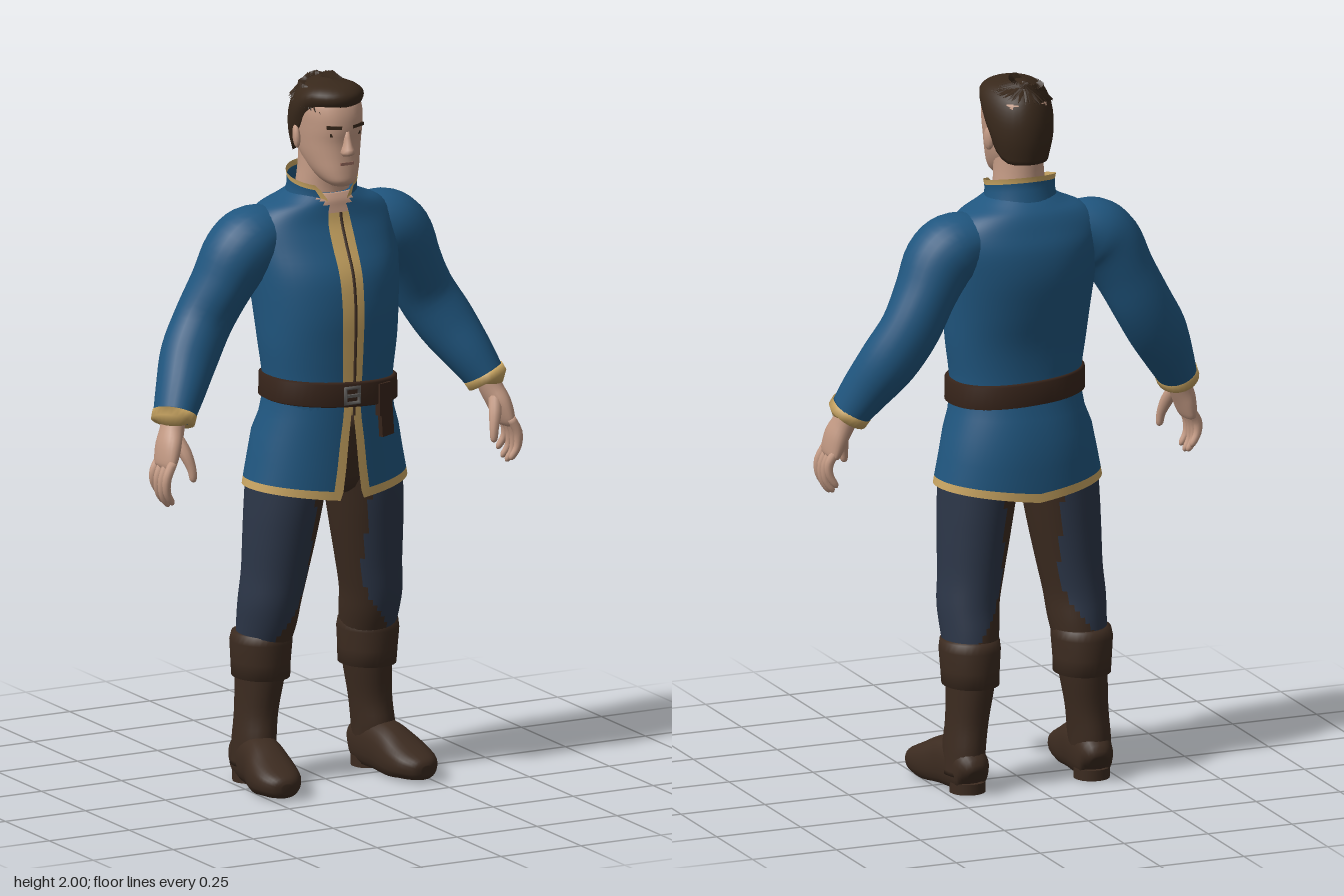
import * as THREE from 'three';
import { mergeGeometries } from 'three/addons/utils/BufferGeometryUtils.js';

const paint = (name, color, extra = {}) => new THREE.MeshStandardMaterial({ name, color, ...extra });
const V = (x, y, z) => new THREE.Vector3(x, y, z);

// Catmull-Rom refinement of cross-sections [x, y, z, halfWidth, halfDepth]
function refine(secs, sub) {
  const out = [], at = (i) => secs[Math.min(Math.max(i, 0), secs.length - 1)];
  for (let i = 0; i < secs.length - 1; i++) {
    for (let k = 0; k < sub; k++) {
      const t = k / sub;
      out.push(secs[i].map((b, q) => {
        const a = at(i - 1)[q], c = at(i + 1)[q], d = at(i + 2)[q];
        return b + 0.5 * t * (c - a + t * (2 * a - 5 * b + 4 * c - d + t * (3 * (b - c) + d - a)));
      }));
    }
  }
  out.push(secs[secs.length - 1]);
  return out;
}

// Skin over cross-sections. Level rings go upwards; with ref the rings follow the path.
// gap opens the front, warp moves points, pick chooses a material per face.
function loft(name, secs, mats, { n = 24, sub = 4, gap, warp, pick, ref, cap = true, p = 2 } = {}) {
  const rows = refine(secs, sub), R = rows.length, pts = [], W = gap ? n + 1 : n;
  const centre = rows.map((r) => V(r[0], r[1], r[2]));
  rows.forEach((r, i) => {
    let u = V(1, 0, 0), v = V(0, 0, 1);
    if (ref) {
      const t = centre[Math.min(i + 1, R - 1)].clone().sub(centre[Math.max(i - 1, 0)]).normalize();
      v = ref.clone().addScaledVector(t, -ref.dot(t)).normalize();
      u = t.clone().cross(v);
    }
    const g = gap ? gap(i / (R - 1)) : 0;
    for (let j = 0; j < W; j++) {
      const a = Math.PI / 2 + g + (2 * Math.PI - 2 * g) * j / n;
      const f = (c) => Math.sign(c) * Math.abs(c) ** (2 / p);
      pts.push(centre[i].clone().addScaledVector(u, r[3] * f(Math.cos(a))).addScaledVector(v, r[4] * f(Math.sin(a))));
    }
  });
  if (cap && !gap) pts.push(centre[0].clone(), centre[R - 1].clone());
  if (warp) pts.forEach(warp);
  const list = Array.isArray(mats) ? mats : [mats], faces = list.map(() => []);
  for (let i = 0; i < R - 1; i++) {
    for (let j = 0; j < n; j++) {
      const k = (j + 1) % W, a = i * W + j, b = a + W, c = i * W + k, d = c + W;
      const mid = pts[a].clone().add(pts[d]).multiplyScalar(0.5);
      faces[pick ? pick(mid, i, j) : 0].push(a, b, c, c, b, d);
    }
  }
  if (cap && !gap) for (let j = 0; j < n; j++) {
    const k = (j + 1) % n, top = (R - 1) * W;
    faces[0].push(R * W, j, k, R * W + 1, top + k, top + j);
  }
  const geo = new THREE.BufferGeometry().setFromPoints(pts);
  geo.setIndex(faces.flat());
  let start = 0;
  faces.forEach((f, m) => { geo.addGroup(start, f.length, m); start += f.length; });
  geo.computeVertexNormals();
  return Object.assign(new THREE.Mesh(geo, Array.isArray(mats) ? mats : list[0]), { name });
}

export function createModel() {
  const blue = paint('blue cloth', 0x20567f, { side: THREE.DoubleSide });
  const gold = paint('gold trim', 0xc9a562, { side: THREE.DoubleSide });
  const navy = paint('navy trousers', 0x2c3648);
  const brown = paint('brown leather', 0x3c2b20, { side: THREE.DoubleSide });
  const strap = paint('belt leather', 0x38251b);
  const skin = paint('skin', 0xc39a84);
  const hairMat = paint('dark brown hair', 0x38281b);
  const metal = paint('buckle metal', 0x5c5a58);
  const lip = paint('lip', 0x94685a);
  const model = new THREE.Group();
  const add = (...m) => model.add(...m);
  const place = (name, geo, mat, x, y, z, rx = 0, ry = 0, rz = 0) => {
    const m = new THREE.Mesh(geo, mat);
    m.name = name; m.position.set(x, y, z); m.rotation.set(rx, ry, rz);
    add(m);
    return m;
  };

  // Jacket body with gold placket and open neck
  const body = [[0, 1.06, 0.01, 0.182, 0.143], [0, 1.15, 0.012, 0.184, 0.143], [0, 1.25, 0.01, 0.197, 0.15],
    [0, 1.35, 0, 0.205, 0.163], [0, 1.45, -0.016, 0.214, 0.165], [0, 1.53, -0.035, 0.222, 0.145],
    [0, 1.585, -0.04, 0.215, 0.124], [0, 1.625, -0.037, 0.18, 0.111], [0, 1.65, -0.03, 0.125, 0.1],
    [0, 1.67, -0.025, 0.09, 0.085]];
  add(loft('jacketBody', body, [blue, gold, skin], { n: 48, p: 2.25,
    pick: (m, i, j) => (m.z > 0 && m.y > 1.615 && Math.abs(m.x) < (m.y - 1.6) * 0.9 ? 2 : j === 0 || j === 47 ? 1 : 0) }));
  const front = refine(body, 4).filter((r) => r[1] < 1.62).map((r) => V(0.006, r[1], r[2] + r[4]));
  place('frontSeam', new THREE.TubeGeometry(new THREE.CatmullRomCurve3(front), 40, 0.005, 5), brown, 0, 0, 0);

  // Skirt split at the front, with gold hem and edges
  add(loft('jacketSkirt', [[0, 0.85, -0.005, 0.24, 0.16], [0, 0.872, -0.005, 0.236, 0.16], [0, 0.93, -0.005, 0.224, 0.16],
    [0, 1, -0.003, 0.21, 0.158], [0, 1.05, 0.005, 0.192, 0.15], [0, 1.1, 0.01, 0.184, 0.145]], [blue, gold], {
    n: 56, sub: 1, p: 2.15, gap: (t) => 0.13 * (1 - t) ** 1.2 + 0.002,
    warp: (q) => { q.y -= 0.032 * (1 - Math.min(1, Math.abs(q.x) / 0.24)) * Math.max(0, (1.07 - q.y) / 0.22); },
    pick: (m, i, j) => (i === 0 || j === 0 || j === 55 ? 1 : 0) }));

  // Standing collar
  add(loft('collar', [[0, 1.635, -0.022, 0.105, 0.098], [0, 1.67, -0.02, 0.098, 0.092], [0, 1.692, -0.02, 0.098, 0.091],
    [0, 1.707, -0.02, 0.101, 0.094]], [blue, gold], { n: 32, sub: 1, gap: (t) => 0.16 + 0.5 * t,
    warp: (q) => { q.y -= q.z * 0.22; }, pick: (m, i, j) => (i === 2 || j === 0 || j === 31 ? 1 : 0) }));

  // Belt, buckle and hanging end
  add(loft('belt', [[0, 1.085, 0.014, 0.186, 0.146], [0, 1.09, 0.014, 0.196, 0.154], [0, 1.15, 0.014, 0.195, 0.154],
    [0, 1.155, 0.014, 0.186, 0.146]], strap, { n: 48, sub: 1, p: 2.2, warp: (q) => { q.y -= q.x * 0.06; } }));
  place('buckle', new THREE.TorusGeometry(0.03, 0.007, 6, 4), metal, -0.008, 1.12, 0.168, 0, 0, Math.PI / 4);
  place('bucklePin', new THREE.BoxGeometry(0.045, 0.008, 0.008), metal, -0.008, 1.12, 0.172);
  place('beltLoop', new THREE.BoxGeometry(0.045, 0.09, 0.018), strap, 0.1, 1.095, 0.148, 0, 0.3, 0);
  place('beltEnd', new THREE.BoxGeometry(0.045, 0.1, 0.014), strap, 0.108, 1.04, 0.147, 0, 0.3, 0.08);

  // Seat of the trousers
  add(loft('trouserSeat', [[0, 0.81, -0.01, 0.04, 0.06], [0, 0.86, -0.01, 0.13, 0.115], [0, 1.05, 0, 0.15, 0.125]], brown));

  // Neck and head
  add(loft('neck', [[0, 1.6, -0.02, 0.08, 0.08], [0, 1.68, -0.018, 0.074, 0.075], [0, 1.74, -0.012, 0.068, 0.078],
    [0, 1.82, -0.01, 0.065, 0.08]], skin));
  add(loft('head', [[0, 1.698, 0.078, 0.026, 0.034], [0, 1.712, 0.068, 0.045, 0.06], [0, 1.74, 0.045, 0.062, 0.083],
    [0, 1.78, 0.022, 0.074, 0.102], [0, 1.82, 0.015, 0.08, 0.108], [0, 1.86, 0.012, 0.084, 0.116],
    [0, 1.905, 0.008, 0.086, 0.116], [0, 1.94, 0.005, 0.076, 0.1], [0, 1.96, 0, 0.04, 0.05]], skin, { n: 32, p: 2.25 }));
  add(loft('nose', [[0, 1.787, 0.125, 0.014, 0.01], [0, 1.798, 0.128, 0.02, 0.026], [0, 1.82, 0.122, 0.012, 0.022],
    [0, 1.855, 0.118, 0.008, 0.012]], skin, { n: 10, sub: 2 }));
  place('mouth', new THREE.BoxGeometry(0.042, 0.008, 0.008), lip, 0, 1.764, 0.122);
  for (const s of [1, -1]) {
    place('brow', new THREE.BoxGeometry(0.042, 0.009, 0.009), hairMat, s * 0.036, 1.868, 0.117, 0, s * 0.3, s * 0.06);
    place('eye', new THREE.BoxGeometry(0.026, 0.009, 0.006), hairMat, s * 0.034, 1.846, 0.114, 0, s * 0.3, 0);
    place('ear', new THREE.SphereGeometry(1, 12, 8), skin, s * 0.086, 1.825, -0.008, -0.15, s * 0.3, 0).scale.set(0.011, 0.034, 0.02);
  }

  // Hair cap, low at the nape and high at the brow, with overlapping locks
  add(loft('hairCap', [[0, 0, 0.002, 0.085, 0.112], [0, 0.3, 0.002, 0.097, 0.123], [0, 0.6, 0.002, 0.094, 0.118],
    [0, 0.85, 0, 0.07, 0.09], [0, 1, 0, 0.02, 0.03]], hairMat, { n: 32, warp: (q) => {
    const low = 1.765 + 0.15 * THREE.MathUtils.smoothstep(q.z, -0.09, 0.08);
    q.y = low + (1.985 - low) * q.y;
  } }));
  const locks = [];
  for (let i = 0; i < 56; i++) {
    const e = 0.38 + 0.9 * ((i * 0.618) % 1), a = i * 2.4;
    const out = V(Math.cos(e) * Math.sin(a), Math.sin(e), Math.cos(e) * Math.cos(a));
    const pos = V(out.x * 0.092, 1.882 + out.y * 0.1, out.z * 0.115);
    const dir = pos.clone().sub(V(0, 2, -0.07)).normalize();
    dir.addScaledVector(out, 0.12 - dir.dot(out)).normalize();
    locks.push(new THREE.ConeGeometry(0.017, 0.075, 4).applyQuaternion(
      new THREE.Quaternion().setFromUnitVectors(V(0, 1, 0), dir)).translate(pos.x, pos.y, pos.z));
  }
  place('hairLocks', mergeGeometries(locks), hairMat, 0, 0, 0);

  // Limbs, built once for each side
  const Z = V(0, 0, 1), Y = V(0, 1, 0);
  for (const s of [1, -1]) {
    const side = (secs) => secs.map(([x, ...r]) => [x * s, ...r]);
    const limb = (name, secs, mat, o = {}) => add(loft(name, side(secs), mat, { ref: Z, ...o }));

    limb('sleeve', [[0.13, 1.56, -0.05, 0.07, 0.08], [0.2, 1.54, -0.045, 0.096, 0.1], [0.25, 1.5, -0.045, 0.098, 0.1],
      [0.295, 1.42, -0.055, 0.086, 0.09], [0.345, 1.325, -0.065, 0.084, 0.078], [0.4, 1.235, -0.045, 0.082, 0.078],
      [0.45, 1.15, -0.005, 0.068, 0.072], [0.488, 1.082, 0.025, 0.054, 0.064]], blue);
    limb('cuffTrim', [[0.482, 1.095, 0.02, 0.05, 0.06], [0.482, 1.094, 0.02, 0.059, 0.069], [0.492, 1.074, 0.028, 0.058, 0.068],
      [0.492, 1.073, 0.028, 0.04, 0.05]], gold, { sub: 1 });

    // Hand
    limb('palm', [[0.485, 1.09, 0.025, 0.032, 0.036], [0.5, 1.05, 0.036, 0.032, 0.04], [0.517, 1.01, 0.048, 0.03, 0.05],
      [0.53, 0.965, 0.055, 0.022, 0.05], [0.534, 0.952, 0.056, 0.012, 0.04]], skin);
    for (let f = 0; f < 4; f++) {
      const z = 0.094 - f * 0.025, d = [0.01, 0, 0.006, 0.025][f];
      limb('finger', [[0.528, 0.975, z, 0.013, 0.013], [0.548, 0.93 + d / 2, z + 0.004, 0.013, 0.013],
        [0.548, 0.885 + d, z + 0.003, 0.011, 0.011], [0.532, 0.856 + d, z, 0.009, 0.009],
        [0.526, 0.849 + d, z, 0.003, 0.003]], skin, { n: 10, sub: 3 });
    }
    limb('thumb', [[0.497, 1.035, 0.06, 0.018, 0.018], [0.484, 0.995, 0.085, 0.018, 0.018], [0.473, 0.955, 0.1, 0.013, 0.013],
      [0.47, 0.925, 0.104, 0.01, 0.01], [0.47, 0.917, 0.104, 0.003, 0.003]], skin, { n: 10, sub: 3 });

    // Trouser leg with leather inner panel
    add(loft('trouserLeg', side([[0.163, 0.38, -0.063, 0.072, 0.08], [0.16, 0.45, -0.045, 0.08, 0.092],
      [0.158, 0.52, -0.03, 0.085, 0.096], [0.147, 0.6, -0.022, 0.09, 0.1], [0.136, 0.7, -0.015, 0.099, 0.11],
      [0.125, 0.8, -0.01, 0.106, 0.12], [0.112, 0.9, -0.008, 0.11, 0.125], [0.1, 0.98, -0.005, 0.09, 0.12]]), [navy, brown],
    { n: 40, pick: (m) => (m.x * s < 0.085 + Math.max(0, 0.56 - m.y) * 0.6 ? 1 : 0) }));

    // Boot: shaft, folded top, foot and heel
    add(loft('bootShaft', side([[0.19, 0.05, -0.075, 0.055, 0.068], [0.186, 0.12, -0.068, 0.056, 0.078],
      [0.178, 0.2, -0.07, 0.058, 0.07], [0.168, 0.3, -0.068, 0.066, 0.078], [0.165, 0.38, -0.065, 0.07, 0.08]]), brown));
    add(loft('bootTop', side([[0.166, 0.305, -0.066, 0.06, 0.07], [0.166, 0.3, -0.066, 0.078, 0.09], [0.167, 0.345, -0.065, 0.08, 0.092],
      [0.167, 0.4, -0.063, 0.084, 0.095], [0.166, 0.425, -0.06, 0.081, 0.09], [0.164, 0.43, -0.058, 0.066, 0.07]]), brown, { sub: 1, n: 32 }));
    limb('bootFoot', [[0.183, 0.05, -0.142, 0.025, 0.03], [0.184, 0.06, -0.125, 0.048, 0.06], [0.187, 0.068, -0.07, 0.056, 0.075],
      [0.195, 0.066, 0, 0.06, 0.074], [0.207, 0.05, 0.07, 0.069, 0.06], [0.214, 0.042, 0.13, 0.064, 0.042],
      [0.217, 0.036, 0.168, 0.04, 0.03], [0.218, 0.034, 0.18, 0.015, 0.015]], brown,
    { ref: Y, p: 2.4, warp: (q) => { q.y = Math.max(q.y, q.z < -0.02 ? 0.01 : 0.006); } });
    place('bootHeel', new THREE.CylinderGeometry(0.05, 0.05, 0.03, 20), brown, s * 0.185, 0.015, -0.09);
  }
  return model;
}
